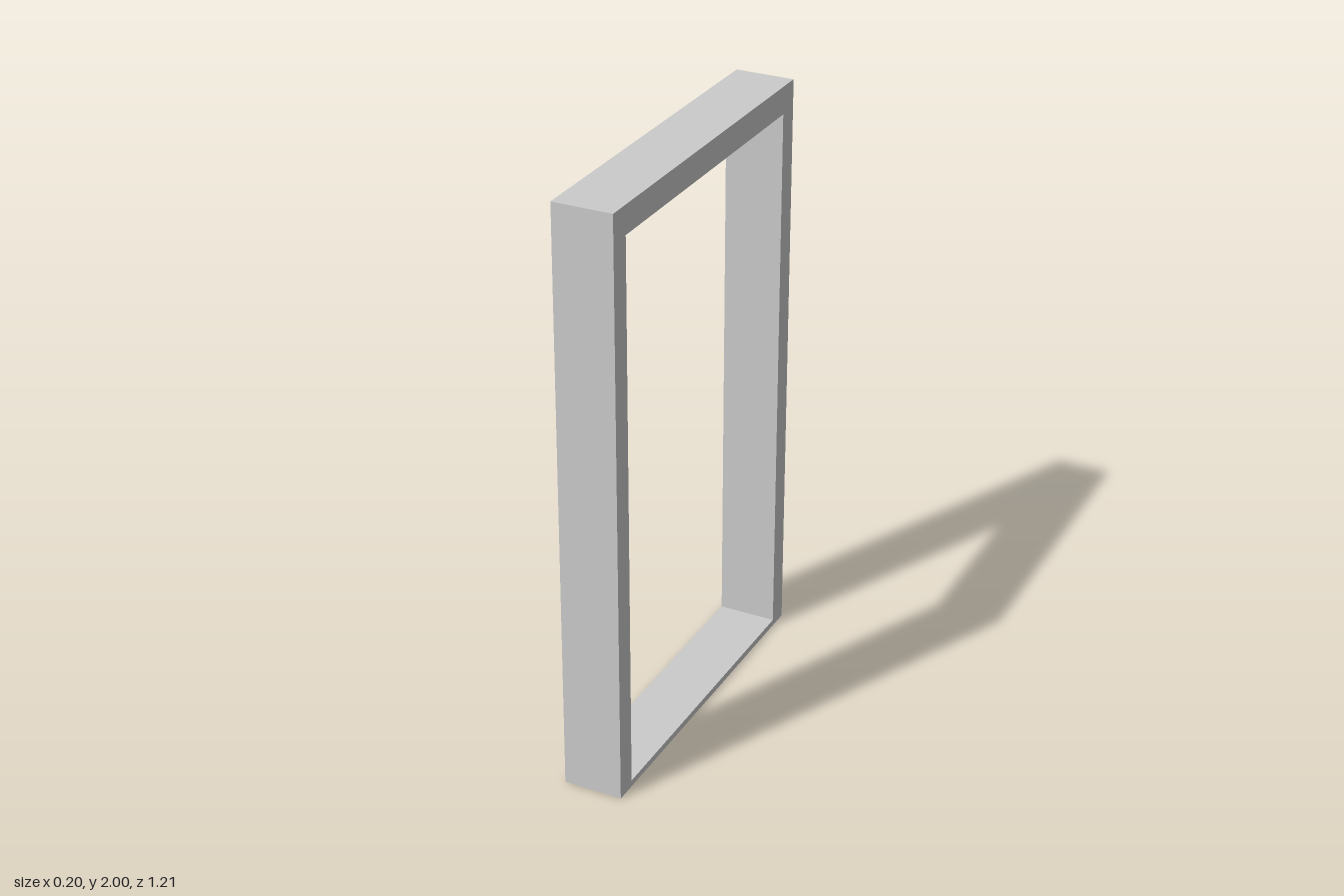
import * as THREE from 'three';

const DEPTH = 0.2;       // thickness along x
const HALF_WIDTH = 0.607; // outer half width along z
const HALF_OPENING = 0.533;
const HEIGHT = 2;
const SILL_TOP = 0.022;
const HEAD_BOTTOM = 1.907;

// Adds the four corners of an upright rectangle to a shape or path
function rectangle(path, halfWidth, bottom, top) {
  path.moveTo(-halfWidth, bottom);
  path.lineTo(halfWidth, bottom);
  path.lineTo(halfWidth, top);
  path.lineTo(-halfWidth, top);
  path.closePath();
  return path;
}

export function createModel() {
  const group = new THREE.Group();
  group.name = 'doorFrame';

  // Frame outline with the opening cut out: two jambs, a head and a thin sill
  const outline = rectangle(new THREE.Shape(), HALF_WIDTH, 0, HEIGHT);
  outline.holes.push(rectangle(new THREE.Path(), HALF_OPENING, SILL_TOP, HEAD_BOTTOM));

  // Extruded through its depth, then turned so the opening faces sideways
  const geometry = new THREE.ExtrudeGeometry(outline, { depth: DEPTH, bevelEnabled: false });
  geometry.translate(0, 0, -DEPTH / 2);
  geometry.rotateY(Math.PI / 2);

  const frame = new THREE.Mesh(geometry, new THREE.MeshStandardMaterial({ color: 0xcccccc }));
  frame.name = 'frame';
  group.add(frame);
  return group;
}
